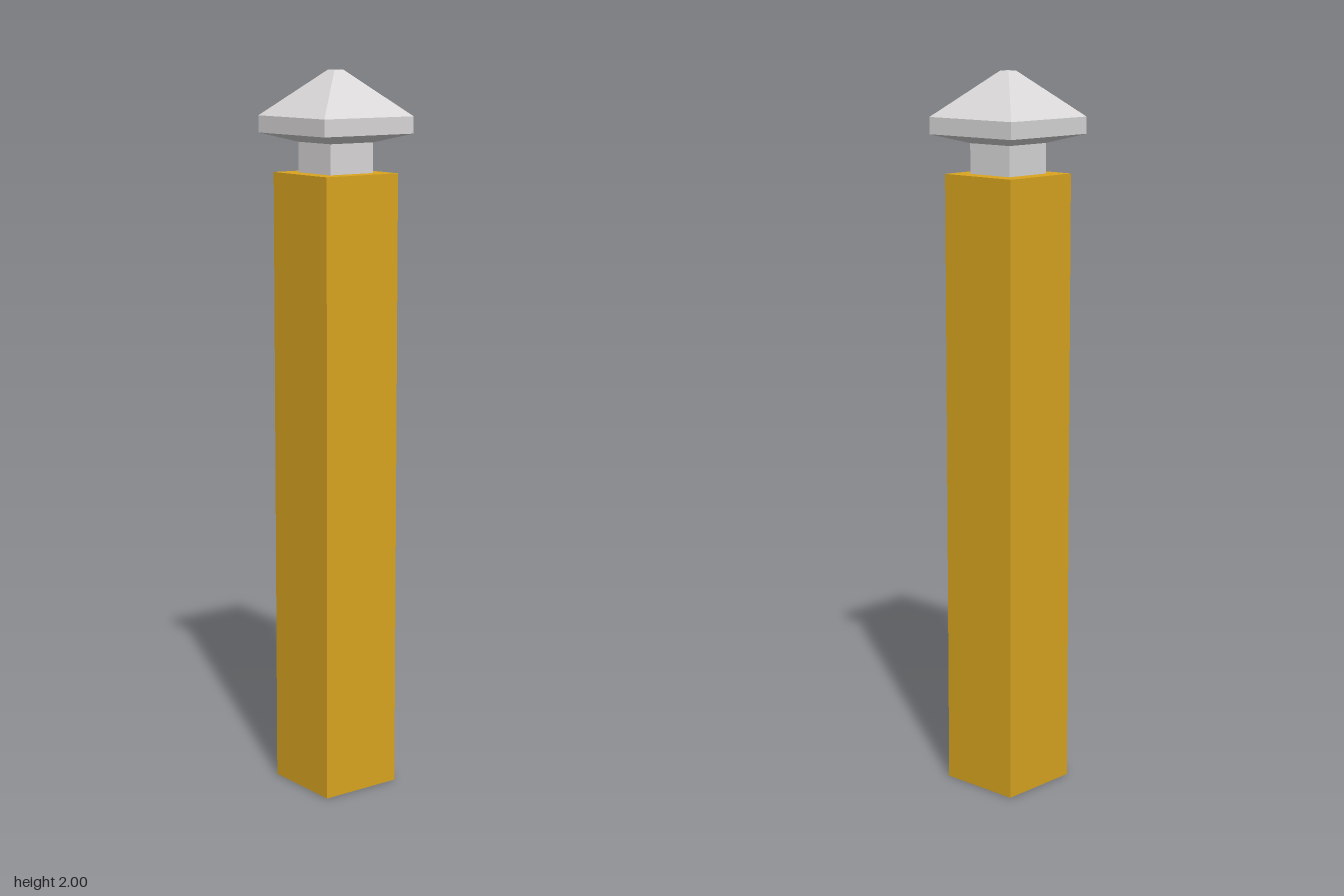
import * as THREE from 'three';

const gold = new THREE.MeshStandardMaterial({ color: 0xdaa520 });
gold.name = 'golden post';
const grey = new THREE.MeshStandardMaterial({ color: 0xdad8d8 });
grey.name = 'light grey cap';

// Square tapered block between two heights, given half-widths at bottom and top
function block(name, y0, y1, half0, half1, material, open = false) {
  const geo = new THREE.CylinderGeometry(half1 * Math.SQRT2, half0 * Math.SQRT2, y1 - y0, 4, 1, open)
    .rotateY(Math.PI / 4)
    .toNonIndexed();
  geo.computeVertexNormals(); // flat faces
  const mesh = new THREE.Mesh(geo, material);
  mesh.name = name;
  mesh.position.y = (y0 + y1) / 2;
  return mesh;
}

export function createModel() {
  const model = new THREE.Group();
  model.name = 'capped post';

  // Shaft
  model.add(block('post', 0, 1.726, 0.12, 0.12, gold));

  // Cap: neck, sloped underside, square rim and truncated pyramid
  const cap = new THREE.Group();
  cap.name = 'cap';
  cap.add(
    block('neck', 1.726, 1.808, 0.072, 0.072, grey, true),
    block('capUnderside', 1.808, 1.832, 0.072, 0.149, grey, true),
    block('capRim', 1.832, 1.878, 0.149, 0.149, grey, true),
    block('capRoof', 1.878, 2, 0.149, 0.015, grey)
  );
  model.add(cap);
  return model;
}
